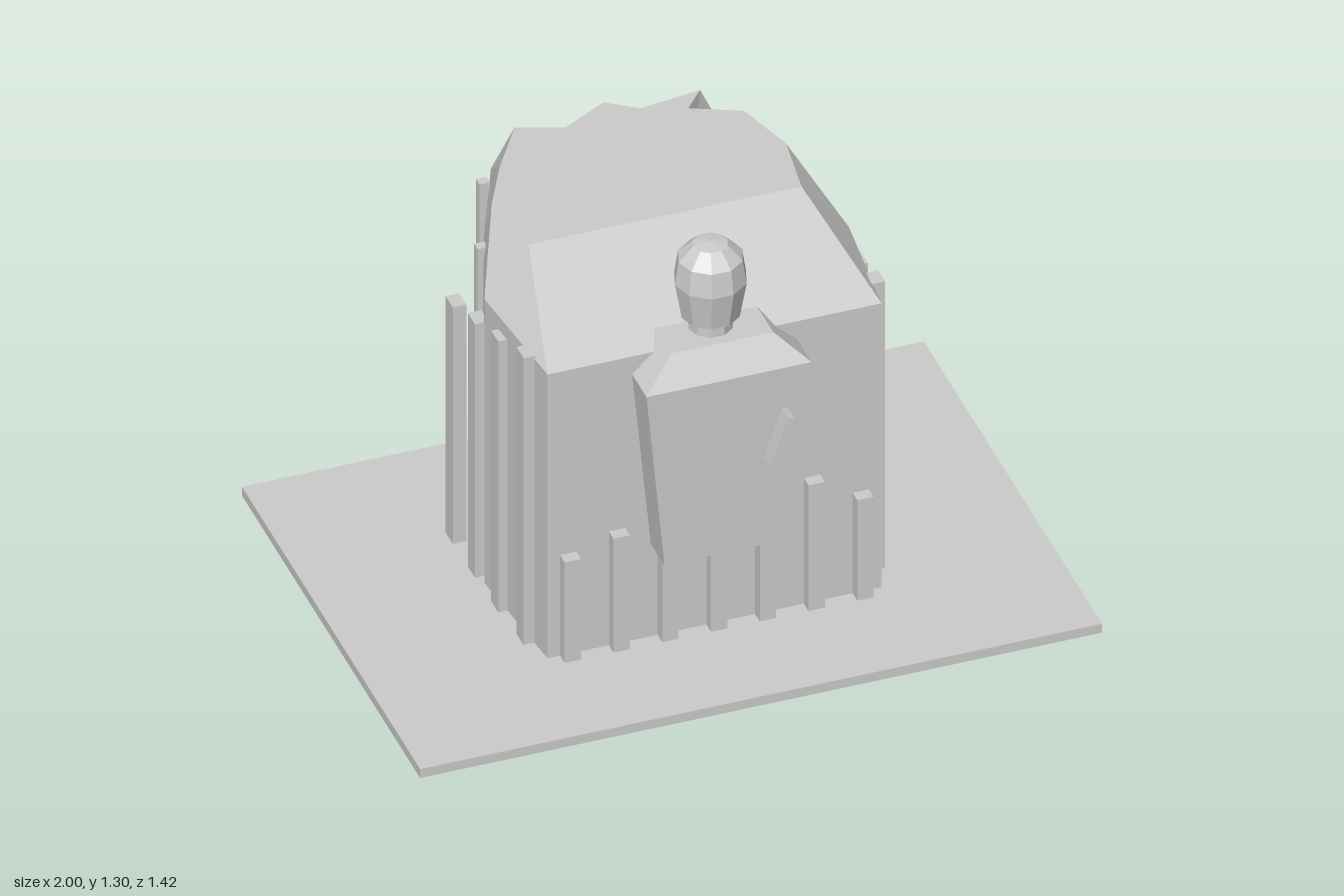
import * as THREE from 'three';

const stone = new THREE.MeshStandardMaterial({ color: 0xcccccc, flatShading: true });
stone.name = 'grey stone';

function add(parent, name, geometry, x = 0, y = 0, z = 0) {
  const mesh = new THREE.Mesh(geometry, stone);
  mesh.name = name;
  mesh.position.set(x, y, z);
  parent.add(mesh);
  return mesh;
}

// Skin between closed loops of [x, y, z], counterclockwise from above, capped at both ends
function loft(loops) {
  const pos = [];
  const tri = (a, b, c) => pos.push(...a, ...b, ...c);
  for (let k = 0; k < loops.length - 1; k++) {
    const lo = loops[k], hi = loops[k + 1], n = lo.length;
    for (let i = 0; i < n; i++) {
      const j = (i + 1) % n;
      tri(lo[i], lo[j], hi[j]);
      tri(lo[i], hi[j], hi[i]);
    }
  }
  const cap = (loop, up) => {
    // Merge repeated corners before filling
    const pts = loop.filter((p, i) => {
      const q = loop[(i + 1) % loop.length];
      return Math.hypot(p[0] - q[0], p[2] - q[2]) > 1e-6;
    });
    const flat = pts.map(p => new THREE.Vector2(p[0], -p[2]));
    for (const [a, b, c] of THREE.ShapeUtils.triangulateShape(flat, [])) {
      if (up) tri(pts[a], pts[b], pts[c]);
      else tri(pts[a], pts[c], pts[b]);
    }
  };
  cap(loops[0], false);
  cap(loops[loops.length - 1], true);
  const g = new THREE.BufferGeometry();
  g.setAttribute('position', new THREE.Float32BufferAttribute(pos, 3));
  g.computeVertexNormals();
  return g;
}

export function createModel() {
  const model = new THREE.Group();
  model.name = 'monument';

  add(model, 'basePlate', new THREE.BoxGeometry(2, 0.03, 1.425), 0, 0.015, 0);

  // Broken block: wall corner [x, z] followed by the crown corner [x, z] it slopes to
  const corners = [
    [0.49, 0.34, 0.4, -0.055], [0.53, -0.03, 0.4, -0.055],
    [0.455, -0.37, 0.43, -0.26], [0.455, -0.37, 0.375, -0.445],
    [0.24, -0.485, 0.235, -0.51], [0.365, -0.60, 0.295, -0.58],
    [0.115, -0.575, 0.11, -0.555], [0.025, -0.685, 0.025, -0.617],
    [-0.12, -0.56, -0.115, -0.54], [-0.30, -0.63, -0.245, -0.59],
    [-0.44, -0.31, -0.35, -0.425], [-0.44, -0.31, -0.43, -0.27],
    [-0.53, -0.055, -0.43, -0.27], [-0.53, -0.055, -0.4, -0.055],
    [-0.49, 0.34, -0.4, -0.055],
  ];
  const wall = y => corners.map(c => [c[0], y, c[1]]);
  add(model, 'brokenBlock', loft([wall(0.03), wall(0.99), corners.map(c => [c[2], 1.143, c[3]])]));

  // Upright bars around the block
  const bars = new THREE.Group();
  bars.name = 'bars';
  model.add(bars);
  const bar = (name, x, z, w, d, y0, y1) =>
    add(bars, name, new THREE.BoxGeometry(w, y1 - y0, d), x, (y0 + y1) / 2, z);
  [0.37, 0.415, 0.36, 0.36, 0.36, 0.455, 0.37].forEach((top, i) =>
    bar('frontBar', (i - 3) * 0.143, 0.355, 0.048, 0.045, 0.03, top));
  for (const side of [-1, 1]) {
    [[0.51, 0.23, 1.0], [0.522, 0.06, 0.945], [0.526, -0.115, 0.888], [0.528, -0.287, 0.83]]
      .forEach(([x, z, top]) => bar('sideBar', side * x, z, 0.04, 0.057, 0.03, top));
  }
  [[-0.47, -0.245], [-0.36, -0.53], [-0.22, -0.59], [-0.05, -0.605],
    [0.075, -0.63], [0.25, -0.59], [0.32, -0.545], [0.36, -0.43]]
    .forEach(([x, z]) => bar('backBar', x, z, 0.03, 0.028, 0.09, 1.03));

  // Figure on the front face
  const figure = new THREE.Group();
  figure.name = 'figure';
  model.add(figure);
  const section = (y, w, z) => [[w, y, z], [w, y, 0.27], [-w, y, 0.27], [-w, y, z]];
  add(figure, 'torso', loft([section(0.343, 0.187, 0.45), section(0.93, 0.242, 0.456), section(1.017, 0.15, 0.4)]));
  const neck = add(figure, 'neck', new THREE.CylinderGeometry(0.064, 0.064, 0.06, 10), 0, 1.035, 0.307);
  const profile = [[0, 1.06], [0.084, 1.06], [0.104, 1.175], [0.093, 1.25], [0.05, 1.293], [0, 1.3]]
    .map(p => new THREE.Vector2(...p));
  const head = add(figure, 'head', new THREE.LatheGeometry(profile, 10), 0, 0, 0.307);
  neck.rotation.y = head.rotation.y = Math.PI / 2;
  const baton = add(figure, 'baton', new THREE.BoxGeometry(0.02, 0.163, 0.05), 0.127, 0.738, 0.51);
  baton.rotation.z = -0.33;

  return model;
}
